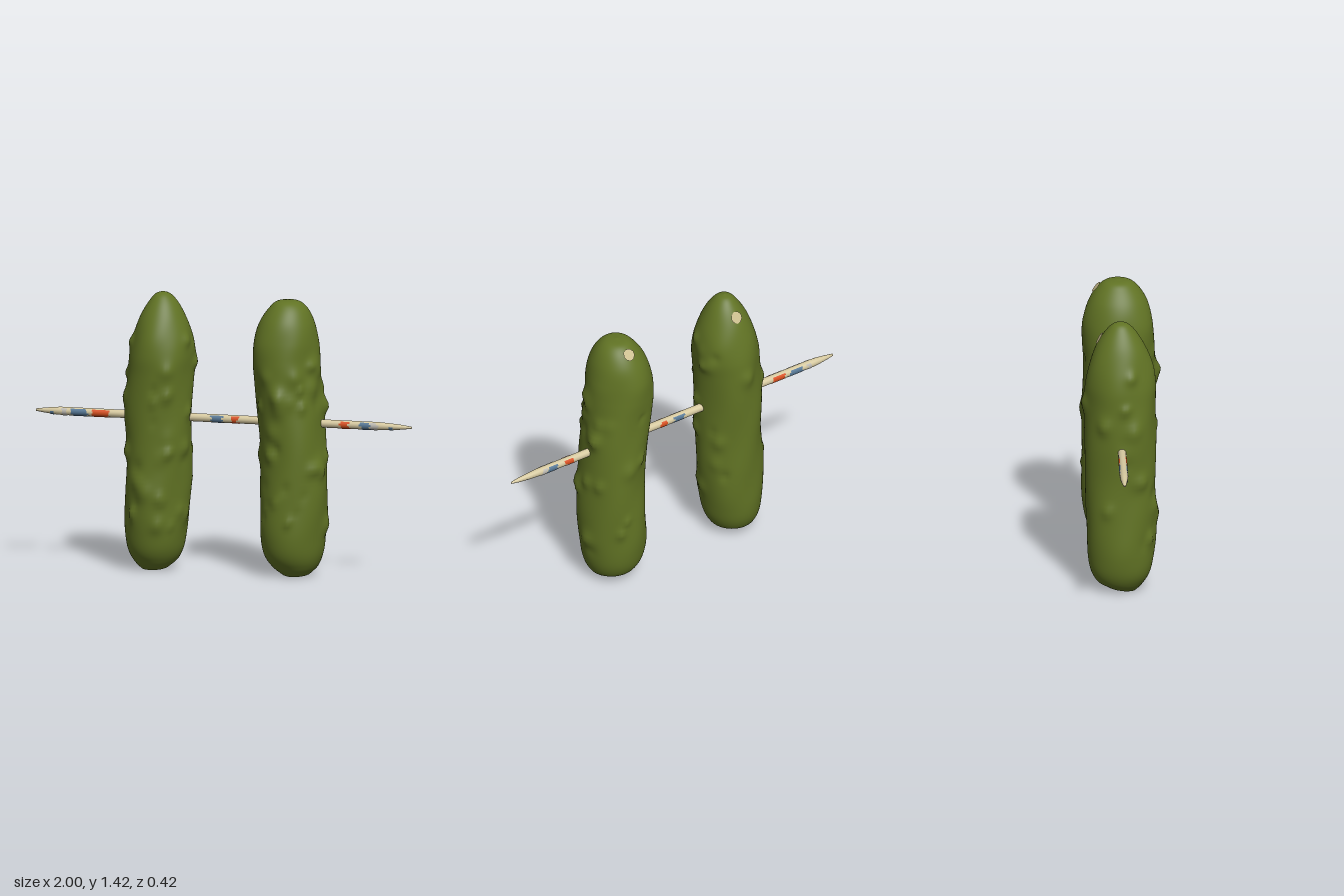
import * as THREE from 'three';

const mat = (name, color, side = THREE.FrontSide) => {
  const m = new THREE.MeshStandardMaterial({ color, side });
  m.name = name;
  return m;
};

const mesh = (name, geometry, material) => {
  const m = new THREE.Mesh(geometry, material);
  m.name = name;
  return m;
};

function seeded(seed) {
  return () => {
    seed = (seed * 16807) % 2147483647;
    return seed / 2147483647;
  };
}

const TAU = Math.PI * 2;
const AROUND = 72, ALONG = 120;

// Silhouette rows: height, left edge, right edge
const RIGHT_PROFILE = [
  [0.012, -0.44, -0.295], [0.045, -0.475, -0.255], [0.1, -0.503, -0.225], [0.2, -0.518, -0.205],
  [0.4, -0.517, -0.187], [0.6, -0.51, -0.182], [0.8, -0.515, -0.178], [1.0, -0.502, -0.168],
  [1.1, -0.495, -0.164], [1.2, -0.473, -0.177], [1.3, -0.437, -0.213], [1.375, -0.392, -0.255],
  [1.41, -0.36, -0.29], [1.421, -0.328, -0.322],
];
const LEFT_PROFILE = [
  [0.012, 0.315, 0.46], [0.045, 0.265, 0.493], [0.1, 0.225, 0.517], [0.2, 0.202, 0.533],
  [0.4, 0.206, 0.544], [0.6, 0.208, 0.54], [0.8, 0.19, 0.526], [1.0, 0.17, 0.506],
  [1.1, 0.161, 0.5], [1.2, 0.167, 0.493], [1.3, 0.2, 0.473], [1.37, 0.248, 0.437],
  [1.4, 0.282, 0.4], [1.41, 0.337, 0.343],
];

// Surface point at angle a (0 = front, towards +x) and t from base to tip
function pickleSurface(profile, seed, bumpCentre) {
  const rand = seeded(seed);
  const spine = new THREE.CatmullRomCurve3(
    profile.map(([y, l, r]) => new THREE.Vector3((l + r) / 2, y, (r - l) / 2)), false, 'centripetal');
  // Warts gather around one side of the skin
  const warts = Array.from({ length: 46 }, () => ({
    a: bumpCentre + (rand() + rand() + rand() - 1.5) * 2.4,
    y: 0.2 + rand() * 1.0,
    s: 0.018 + rand() * 0.022,
    h: (rand() < 0.25 ? -0.6 : 1) * (0.006 + rand() * 0.012),
  }));
  const shift = rand() * 6;
  return (a, t) => {
    const p = spine.getPoint(t);
    const calm = THREE.MathUtils.smoothstep(p.y, 0.06, 0.3) * (1 - THREE.MathUtils.smoothstep(p.y, 1.15, 1.32));
    let d = 0.003 * Math.sin(3 * a + 7 * p.y + shift) + 0.0025 * Math.sin(5 * a - 13 * p.y + shift);
    for (const w of warts) {
      const da = Math.atan2(Math.sin(a - w.a), Math.cos(a - w.a)) * 0.17;
      d += w.h * Math.exp(-(da * da + ((p.y - w.y) ** 2) * 0.7) / (w.s * w.s));
    }
    d *= calm;
    const tilt = -0.012 * Math.cos(a) * (1 - THREE.MathUtils.smoothstep(t, 0, 0.1));
    return new THREE.Vector3(
      p.x + Math.sin(a) * (p.z + d), p.y + tilt, -0.005 + Math.cos(a) * (p.z * 1.08 + d));
  };
}

function skinGeometry(surface) {
  const pos = [], index = [];
  for (let i = 0; i <= ALONG; i++) {
    for (let j = 0; j < AROUND; j++) pos.push(...surface((j / AROUND) * TAU, i / ALONG).toArray());
  }
  for (let i = 0; i < ALONG; i++) {
    for (let j = 0; j < AROUND; j++) {
      const k = (j + 1) % AROUND;
      const a = i * AROUND + j, b = i * AROUND + k, c = b + AROUND, d = a + AROUND;
      index.push(a, b, c, a, c, d);
    }
  }
  // Close the tip
  const tip = ALONG * AROUND;
  for (let j = 1; j < AROUND - 1; j++) index.push(tip, tip + j, tip + j + 1);
  const g = new THREE.BufferGeometry();
  g.setAttribute('position', new THREE.Float32BufferAttribute(pos, 3));
  g.setIndex(index);
  g.computeVertexNormals();
  return g;
}

// Fan that closes the cut base
function baseGeometry(surface) {
  const pos = [], index = [];
  for (let j = 0; j < AROUND; j++) pos.push(...surface((j / AROUND) * TAU, 0).toArray());
  for (let j = 1; j < AROUND - 1; j++) index.push(0, j + 1, j);
  const g = new THREE.BufferGeometry();
  g.setAttribute('position', new THREE.Float32BufferAttribute(pos, 3));
  g.setIndex(index);
  g.computeVertexNormals();
  return g;
}

function makePickle(name, profile, seed, bumpCentre, mats) {
  const group = new THREE.Group();
  group.name = name;
  const surface = pickleSurface(profile, seed, bumpCentre);
  group.add(mesh('skin', skinGeometry(surface), mats.skin));
  group.add(mesh('cutBase', baseGeometry(surface), mats.base));

  // Pale stem scar on the back of the crown
  let t = 0.8;
  while (t < 1 && surface(Math.PI, t).z < -0.112) t += 0.001;
  const p = surface(Math.PI, t);
  const du = surface(Math.PI + 0.1, t).sub(surface(Math.PI - 0.1, t));
  const dv = surface(Math.PI, t + 0.01).sub(surface(Math.PI, t - 0.01));
  const n = du.cross(dv).normalize();
  const scar = mesh('stemScar', new THREE.CircleGeometry(0.032, 9), mats.scar);
  scar.position.copy(p).addScaledVector(n, 0.005);
  scar.quaternion.setFromUnitVectors(new THREE.Vector3(0, 0, 1), n);
  group.add(scar);
  return group;
}

function makeSkewer(mats) {
  const group = new THREE.Group();
  group.name = 'skewer';
  const R = 0.021;
  const points = [[0, -1], [0.006, -0.998], [0.013, -0.95], [0.019, -0.9], [R, -0.86],
    [R, 0.82], [0.017, 0.89], [0.012, 0.95], [0.005, 0.998], [0, 1]];
  group.add(mesh('stick', new THREE.LatheGeometry(points.map(p => new THREE.Vector2(...p)), 16), mats.wood));

  // Painted marks made of uneven strips around front, underside and back
  const marks = [
    ['blue', -0.8, -0.72], ['red', -0.69, -0.61], ['blue', -0.06, 0.0], ['red', 0.04, 0.08],
    ['red', 0.62, 0.67], ['blue', 0.73, 0.785], ['grey', 0.79, 0.82], ['grey', -0.86, -0.83],
  ];
  const rand = seeded(77);
  const strips = 10, start = 0.75, sweep = TAU - 1.5;
  for (const [colour, x0, x1] of marks) {
    const mark = new THREE.Group();
    mark.name = colour + 'Mark';
    for (let i = 0; i < strips; i++) {
      const a = x0 + (rand() - 0.5) * 0.02, b = x1 + (rand() - 0.5) * 0.02;
      const g = new THREE.CylinderGeometry(R + 0.0012, R + 0.0012, b - a, 2, 1, true,
        start + (i / strips) * sweep, sweep / strips);
      g.translate(0, (a + b) / 2, 0);
      mark.add(mesh('strip', g, mats[colour]));
    }
    // Turn the bare gap to the top of the stick
    mark.rotation.y = -Math.PI / 2;
    group.add(mark);
  }

  // Worn specks near both points
  for (const [x, r] of [[-0.91, 0.0185], [0.89, 0.0175]]) {
    const g = new THREE.CylinderGeometry(r + 0.001, r + 0.001, 0.02, 5, 1, true, 0, 1.8);
    g.translate(0, x, 0);
    group.add(mesh('speck', g, mats.blue));
  }

  group.rotation.set(0, 0.008, -Math.PI / 2, 'YXZ');
  group.position.set(0, 0.782, -0.005);
  return group;
}

export function createModel() {
  const mats = {
    skin: mat('pickleGreen', 0x617324),
    base: mat('cutBrown', 0xa3957b),
    scar: mat('scarCream', 0xcabd8c),
    wood: mat('woodCream', 0xd6c9a0),
    red: mat('paintRed', 0xd9501f, THREE.DoubleSide),
    blue: mat('paintBlue', 0x567896, THREE.DoubleSide),
    grey: mat('wornGrey', 0xbdbab2, THREE.DoubleSide),
  };
  const model = new THREE.Group();
  model.name = 'skeweredPickles';
  model.add(makePickle('rightPickle', RIGHT_PROFILE, 4211, 0.5, mats));
  model.add(makePickle('leftPickle', LEFT_PROFILE, 9137, 0.9, mats));
  model.add(makeSkewer(mats));
  return model;
}
